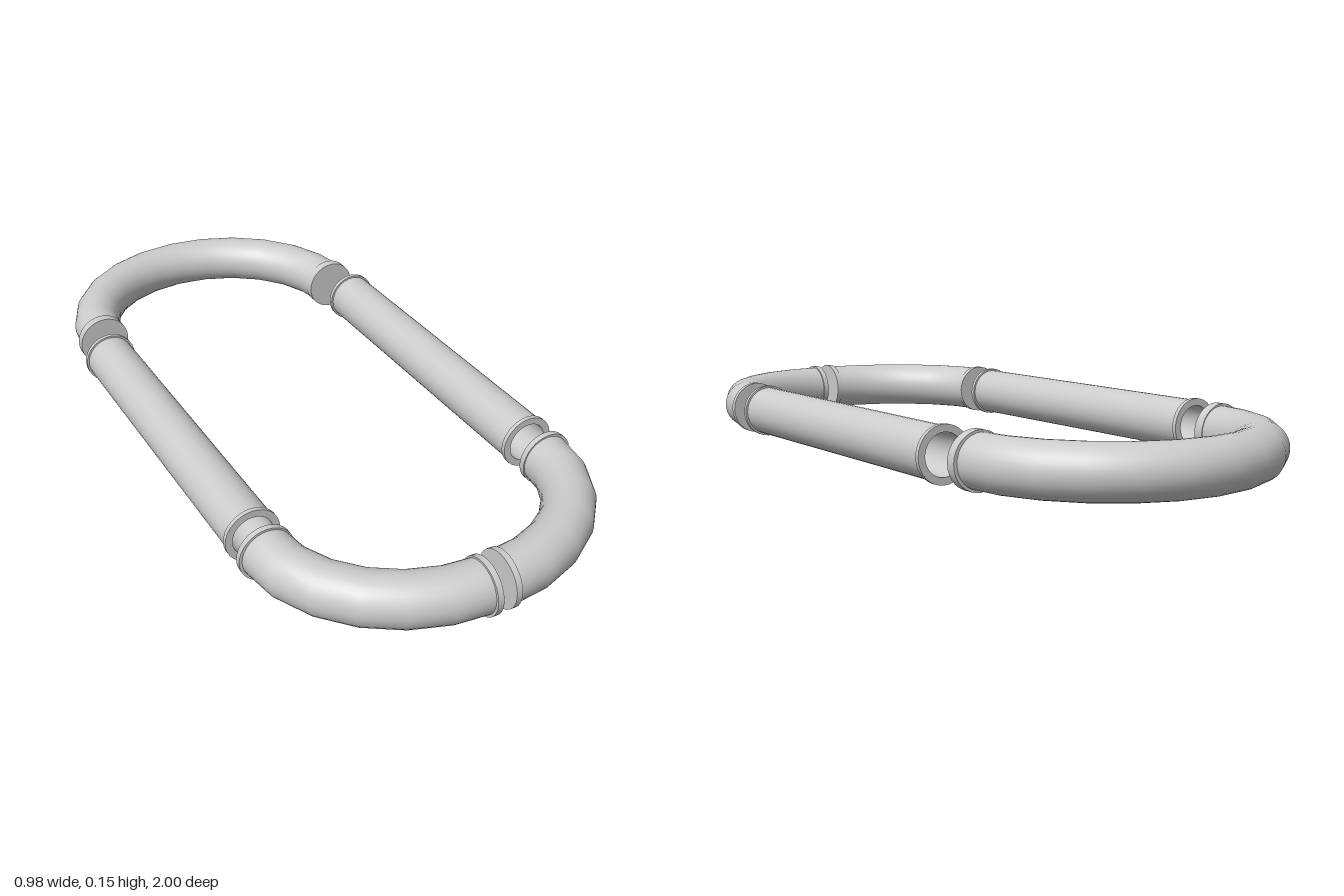
import * as THREE from 'three';

const PIPE = 0.069, COLLAR = 0.0745, BORE = 0.055, SIDES = 32;
const material = new THREE.MeshStandardMaterial({ color: 0xcccccc });

function add(group, name, geometry) {
  const mesh = new THREE.Mesh(geometry, material);
  mesh.name = name;
  group.add(mesh);
  return mesh;
}

// Hollow straight pipe with a thin collar at each end, from z0 to z1
function straightPipe(name, x, z0, z1) {
  const group = new THREE.Group();
  group.name = name;
  const h = (z1 - z0) / 2, w = 0.012;
  const sections = {
    outerWall: [[PIPE, -h + w], [PIPE, h - w]],
    innerWall: [[BORE, h], [BORE, -h]],
  };
  for (const s of [-1, 1]) {
    const ends = [s * h, s * (h - w)];
    const low = Math.min(...ends), high = Math.max(...ends);
    const side = s > 0 ? 'Front' : 'Back';
    sections['collarWall' + side] = [[COLLAR, low], [COLLAR, high]];
    sections['collarTop' + side] = [[COLLAR, high], [s > 0 ? BORE : PIPE, high]];
    sections['collarBottom' + side] = [[s > 0 ? PIPE : BORE, low], [COLLAR, low]];
  }
  for (const [part, pts] of Object.entries(sections)) {
    const profile = pts.map(([r, y]) => new THREE.Vector2(r, y));
    add(group, part, new THREE.LatheGeometry(profile, SIDES)).rotation.x = Math.PI / 2;
  }
  group.position.set(x, COLLAR, (z0 + z1) / 2);
  return group;
}

// Elliptical bend lying in the ground plane
class BendCurve extends THREE.Curve {
  constructor(cx, cz, rx, rz, a0, a1) {
    super();
    Object.assign(this, { cx, cz, rx, rz, a0, a1 });
  }
  getPoint(t, target = new THREE.Vector3()) {
    const a = this.a0 + (this.a1 - this.a0) * t;
    return target.set(this.cx + this.rx * Math.cos(a), COLLAR, this.cz + this.rz * Math.sin(a));
  }
}

// Curved pipe with a closed collar on each end
function bentPipe(name, curve, segments, collarWidth) {
  const group = new THREE.Group();
  group.name = name;
  add(group, 'bend', new THREE.TubeGeometry(curve, segments, PIPE, SIDES, false));
  for (const t of [0, 1]) {
    const inward = curve.getTangent(t).multiplyScalar(t ? -1 : 1);
    // snap to the nearest axis so that the end faces are square
    inward.set(Math.round(inward.x), 0, Math.round(inward.z));
    const collar = add(group, 'collar',
      new THREE.CylinderGeometry(COLLAR, COLLAR, collarWidth, SIDES));
    collar.quaternion.setFromUnitVectors(new THREE.Vector3(0, 1, 0), inward);
    collar.position.copy(curve.getPoint(t)).addScaledVector(inward, collarWidth / 2 - 0.001);
  }
  return group;
}

export function createModel() {
  const model = new THREE.Group();
  model.name = 'pipeLoop';
  const q = Math.PI / 2;
  model.add(
    straightPipe('leftStraightPipe', 0.411, -0.452, 0.502),
    straightPipe('rightStraightPipe', -0.417, -0.455, 0.512),
    bentPipe('backBend', new BendCurve(-0.002, -0.548, 0.395, 0.383, -2 * q, 0), 12, 0.027),
    bentPipe('frontLeftBend', new BendCurve(0.014, 0.574, 0.395, 0.35, 0, q), 6, 0.016),
    bentPipe('frontRightBend', new BendCurve(-0.025, 0.576, 0.393, 0.35, q, 2 * q), 6, 0.016),
  );
  return model;
}
